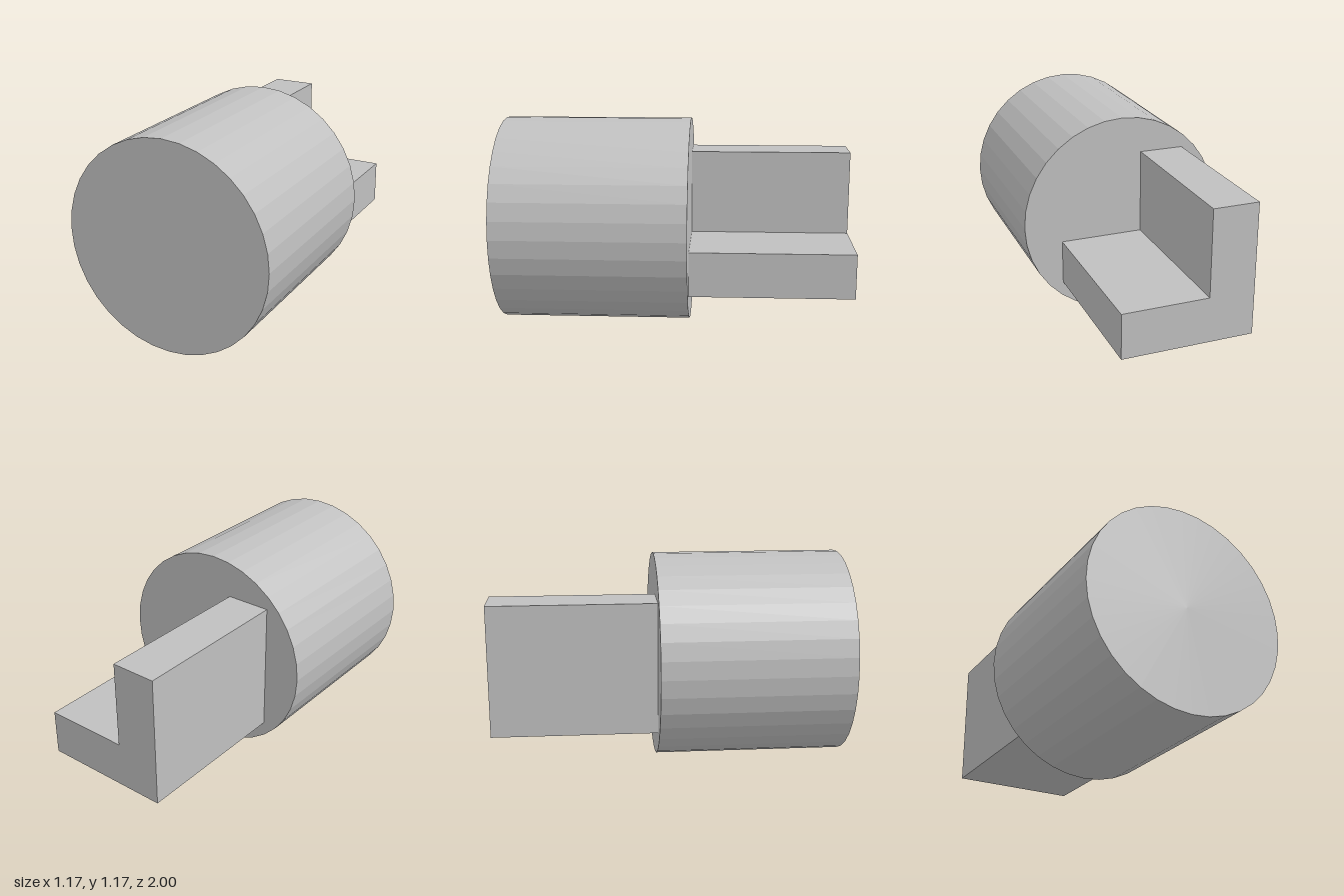
import * as THREE from 'three';

export function createModel() {
  const model = new THREE.Group();
  const grey = new THREE.MeshStandardMaterial({ color: 0xc0c0c0, flatShading: true });
  grey.name = 'grey';

  const radius = 0.586;
  const shoulderZ = -0.07;

  // Faceted cylindrical body, lying along z
  const body = new THREE.Mesh(
    new THREE.CylinderGeometry(radius, radius, 1 - shoulderZ, 36).rotateX(Math.PI / 2), grey);
  body.name = 'body';
  body.position.set(0, radius, (1 + shoulderZ) / 2);
  model.add(body);

  // L-shaped tongue reaching back from the body
  const profile = new THREE.Shape([
    [-0.37, 0.217], [0.367, 0.217], [0.367, 0.473],
    [-0.115, 0.473], [-0.115, 0.96], [-0.37, 0.96],
  ].map(([x, y]) => new THREE.Vector2(x, y)));
  const tongue = new THREE.Mesh(
    new THREE.ExtrudeGeometry(profile, { depth: 1 + shoulderZ, bevelEnabled: false }), grey);
  tongue.name = 'tongue';
  tongue.position.z = -1;
  model.add(tongue);

  return model;
}
